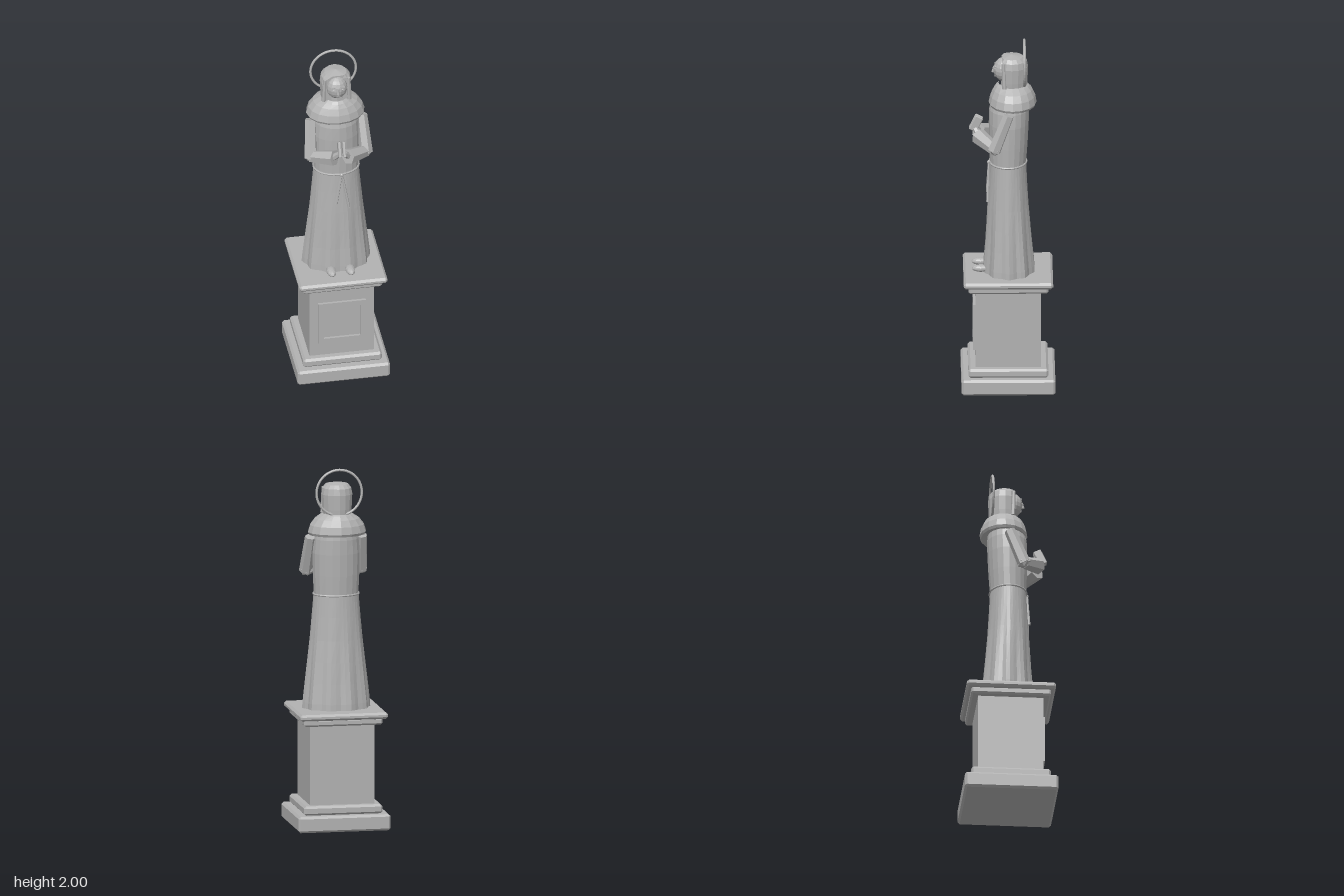
import * as THREE from 'three';
import { ConvexGeometry } from 'three/addons/geometries/ConvexGeometry.js';

const stone = new THREE.MeshStandardMaterial({ color: 0xb2b2b2, flatShading: true });
stone.name = 'stone grey';

function part(parent, name, geometry, x = 0, y = 0, z = 0) {
  const mesh = new THREE.Mesh(geometry, stone);
  mesh.name = name;
  mesh.position.set(x, y, z);
  parent.add(mesh);
  return mesh;
}

// Box with every edge and corner cut by c
function chamferBox(w, h, d, c) {
  const points = [];
  for (const x of [-1, 1]) for (const y of [-1, 1]) for (const z of [-1, 1]) {
    for (let a = 0; a < 3; a++) {
      points.push(new THREE.Vector3(
        x * (w / 2 - (a === 0 ? 0 : c)),
        y * (h / 2 - (a === 1 ? 0 : c)),
        z * (d / 2 - (a === 2 ? 0 : c))));
    }
  }
  return new ConvexGeometry(points);
}

// Oval rings from bottom to top: [y, radiusX, radiusZ, centreZ, foldDepth]
function loft(rings, sides, folds = 0, maxZ = Infinity) {
  const positions = [], index = [];
  for (const [y, rx, rz, cz, fold = 0] of rings) {
    for (let i = 0; i < sides; i++) {
      const t = (i / sides) * Math.PI * 2;
      const k = 1 - fold * Math.cos(folds * t);
      positions.push(rx * k * Math.sin(t), y, Math.min(maxZ, cz + rz * k * Math.cos(t)));
    }
  }
  for (let r = 0; r < rings.length - 1; r++) {
    for (let i = 0; i < sides; i++) {
      const a = r * sides + i, b = r * sides + (i + 1) % sides;
      index.push(a, b, b + sides, a, b + sides, a + sides);
    }
  }
  const g = new THREE.BufferGeometry();
  g.setAttribute('position', new THREE.Float32BufferAttribute(positions, 3));
  g.setIndex(index);
  g.computeVertexNormals();
  return g;
}

// Tapered rod between two points
function rod(parent, name, from, to, r0, r1, sides = 6) {
  const a = new THREE.Vector3(...from), b = new THREE.Vector3(...to);
  const dir = b.clone().sub(a);
  const mesh = part(parent, name, new THREE.CylinderGeometry(r1, r0, dir.length(), sides));
  mesh.position.copy(a).add(b).multiplyScalar(0.5);
  mesh.quaternion.setFromUnitVectors(new THREE.Vector3(0, 1, 0), dir.normalize());
  return mesh;
}

function buildPedestal() {
  const g = new THREE.Group();
  g.name = 'pedestal';
  part(g, 'plinth', chamferBox(0.516, 0.09, 0.516, 0.012), 0, 0.045);
  part(g, 'lowerMoulding', chamferBox(0.44, 0.052, 0.44, 0.012), 0, 0.115);
  part(g, 'shaft', new THREE.BoxGeometry(0.36, 0.47, 0.36), 0, 0.365);
  part(g, 'upperMoulding', chamferBox(0.44, 0.04, 0.44, 0.01), 0, 0.605);
  part(g, 'capSlab', chamferBox(0.492, 0.036, 0.492, 0.012), 0, 0.638);

  // Raised square frame on the front
  const square = (C, s) => new C([[-s, -s], [s, -s], [s, s], [-s, s]].map(p => new THREE.Vector2(...p)));
  const frame = square(THREE.Shape, 0.133);
  frame.holes.push(square(THREE.Path, 0.102));
  part(g, 'panelFrame', new THREE.ExtrudeGeometry(frame, { depth: 0.015, bevelEnabled: false }), 0, 0.358, 0.179);
  return g;
}

function buildHead() {
  const g = new THREE.Group();
  g.name = 'head';
  part(g, 'neck', new THREE.CylinderGeometry(0.055, 0.065, 0.12, 12), 0, 1.74, -0.02);
  // Hood with a flat front opening
  part(g, 'hood', loft([
    [1.72, 0.078, 0.083, -0.022], [1.77, 0.083, 0.086, -0.022],
    [1.85, 0.087, 0.088, -0.022], [1.885, 0.08, 0.082, -0.022],
    [1.905, 0.062, 0.064, -0.02], [1.917, 0, 0, -0.02],
  ], 16, 0, 0.03));
  const face = part(g, 'face', new THREE.SphereGeometry(0.06, 14, 10), 0, 1.83, 0.02);
  face.scale.set(1, 1.15, 1);

  for (const s of [-1, 1]) {
    rod(g, 'hoodEdge', [s * 0.072, 1.74, 0.02], [s * 0.066, 1.885, 0.026], 0.013, 0.01);
    const brow = part(g, 'brow', new THREE.BoxGeometry(0.024, 0.005, 0.012), s * 0.025, 1.855, 0.069);
    brow.rotation.z = -s * 0.15;
    const eye = part(g, 'eye', new THREE.SphereGeometry(0.008, 8, 6), s * 0.023, 1.841, 0.071);
    eye.scale.set(1.1, 0.55, 0.7);
  }
  rod(g, 'nose', [0, 1.813, 0.082], [0, 1.848, 0.077], 0.009, 0.005, 4);
  part(g, 'mouth', new THREE.BoxGeometry(0.022, 0.005, 0.01), 0, 1.793, 0.068);
  return g;
}

function buildArm(s) {
  const g = new THREE.Group();
  g.name = s > 0 ? 'leftArm' : 'rightArm';
  rod(g, 'upperSleeve', [s * 0.143, 1.61, -0.002], [s * 0.155, 1.405, 0.078], 0.031, 0.037);
  part(g, 'elbow', new THREE.IcosahedronGeometry(0.036, 0), s * 0.154, 1.415, 0.074);
  rod(g, 'foreSleeve', [s * 0.155, 1.413, 0.072], [s * 0.037, 1.45, 0.163], 0.034, 0.046);
  rod(g, 'wrist', [s * 0.045, 1.448, 0.155], [s * 0.014, 1.485, 0.18], 0.02, 0.016);
  const hand = part(g, 'hand', chamferBox(0.017, 0.088, 0.046, 0.004), s * 0.0125, 1.513, 0.176);
  hand.rotation.x = -0.45;
  return g;
}

function buildFigure() {
  const g = new THREE.Group();
  g.name = 'figure';

  // Robe skirt whose folds fade out towards the waist
  part(g, 'skirt', loft([
    [0.655, 0.183, 0.142, -0.005, 0.045], [0.69, 0.181, 0.14, -0.005, 0.045],
    [0.8, 0.17, 0.13, -0.004, 0.04], [0.92, 0.158, 0.122, -0.002, 0.03],
    [1.04, 0.146, 0.114, 0, 0.018], [1.17, 0.135, 0.106, 0, 0.008],
    [1.29, 0.125, 0.1, 0, 0],
  ], 40, 10));
  part(g, 'torso', loft([
    [1.285, 0.125, 0.1, 0], [1.4, 0.13, 0.106, -0.002], [1.52, 0.132, 0.11, -0.004],
    [1.6, 0.125, 0.11, -0.006], [1.66, 0.11, 0.1, -0.01], [1.72, 0.07, 0.07, -0.02],
  ], 20));
  part(g, 'shoulderCape', loft([
    [1.64, 0.105, 0.09, -0.02], [1.626, 0.156, 0.125, -0.025], [1.64, 0.163, 0.132, -0.025],
    [1.68, 0.151, 0.124, -0.026], [1.715, 0.124, 0.108, -0.026],
    [1.737, 0.09, 0.092, -0.024], [1.75, 0.07, 0.075, -0.022],
  ], 16));

  // Rope belt and its two hanging ends
  const belt = part(g, 'ropeBelt', new THREE.TorusGeometry(0.126, 0.006, 6, 28), 0, 1.29, 0);
  belt.rotation.x = Math.PI / 2;
  belt.scale.y = 0.81;
  part(g, 'beltKnot', new THREE.SphereGeometry(0.011, 8, 6), 0.013, 1.287, 0.105);
  rod(g, 'ropeEnd', [0.011, 1.285, 0.106], [-0.019, 1.1, 0.115], 0.006, 0.008);
  rod(g, 'ropeEnd', [0.016, 1.285, 0.106], [0.052, 1.068, 0.113], 0.006, 0.008);

  for (const s of [-1, 1]) {
    g.add(buildArm(s));
    const foot = part(g, 'foot', new THREE.SphereGeometry(0.027, 10, 8), s * 0.053, 0.677, 0.15);
    foot.scale.set(1, 0.75, 1.9);
  }

  g.add(buildHead());
  part(g, 'halo', new THREE.TorusGeometry(0.127, 0.007, 8, 40), 0, 1.866, -0.09);
  return g;
}

export function createModel() {
  const model = new THREE.Group();
  model.name = 'statue';
  model.add(buildPedestal(), buildFigure());
  return model;
}
